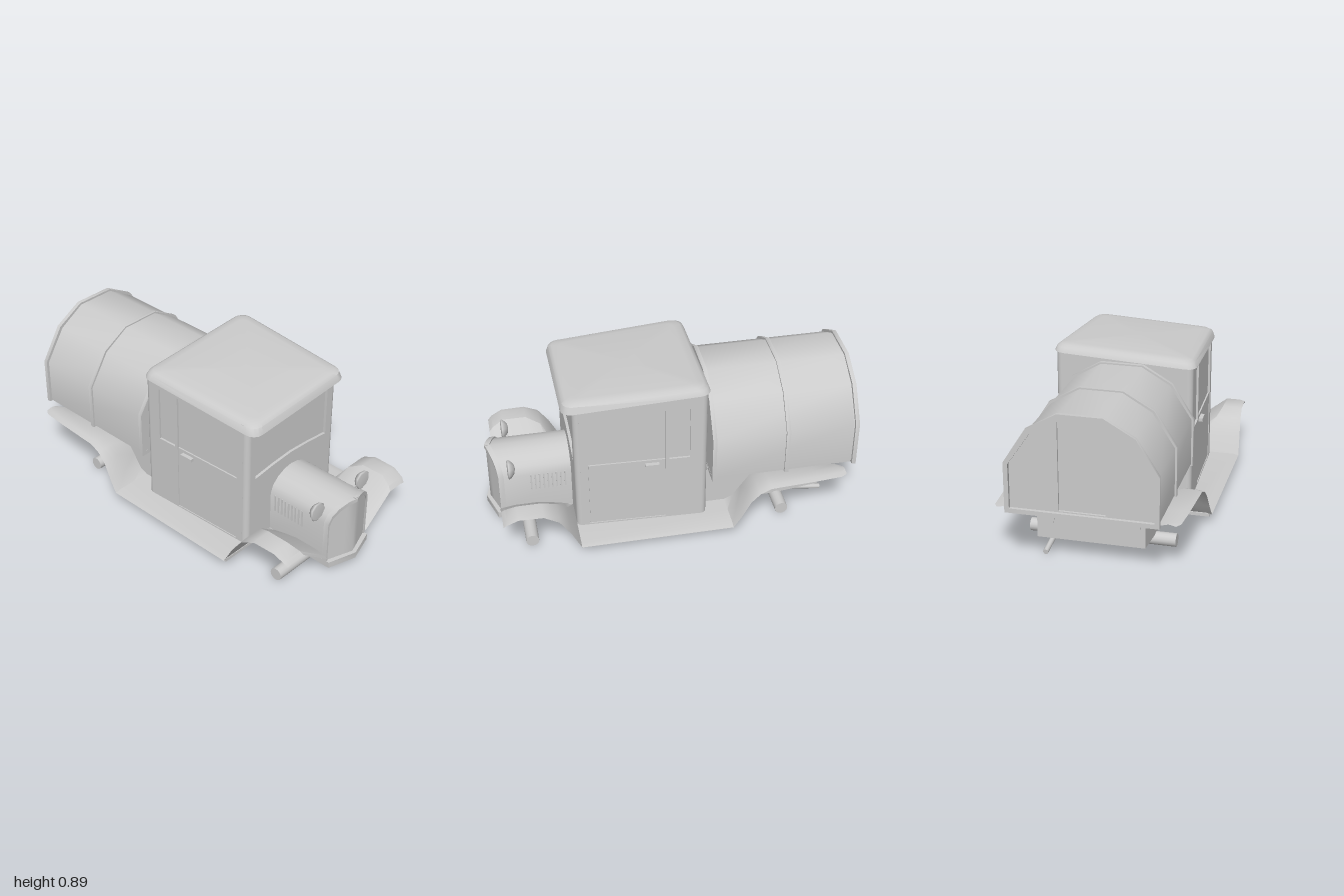
import * as THREE from 'three';
import { toCreasedNormals } from 'three/addons/utils/BufferGeometryUtils.js';

const solid = new THREE.MeshStandardMaterial({ color: 0xcccccc });
const thin = new THREE.MeshStandardMaterial({ color: 0xcccccc, side: THREE.DoubleSide });

// Surface through rows of [x, y, z] points
function sheet(rows, closed = false, crease = 0.7) {
  const n = rows[0].length, index = [];
  for (let r = 0; r < rows.length - 1; r++) {
    for (let i = 0; i < (closed ? n : n - 1); i++) {
      const j = (i + 1) % n, a = r * n + i, b = r * n + j;
      index.push(a, b, a + n, b, b + n, a + n);
    }
  }
  const geo = new THREE.BufferGeometry();
  geo.setAttribute('position', new THREE.Float32BufferAttribute(rows.flat(2), 3));
  geo.setIndex(index);
  return toCreasedNormals(geo, crease);
}

const shapeOf = (pts) => new THREE.Shape(pts.map(([x, y]) => new THREE.Vector2(x, y)));
const rect = (x0, x1, y0, y1) => [[x0, y0], [x1, y0], [x1, y1], [x0, y1]];

// Extrude an outline with holes from z0 to z1
function slab(pts, z0, z1, holes = []) {
  const shape = shapeOf(pts);
  shape.holes = holes.map(shapeOf);
  const geo = new THREE.ExtrudeGeometry(shape, { depth: z1 - z0, bevelEnabled: false });
  return toCreasedNormals(geo.translate(0, 0, z0), 0.8);
}

// Extrude a plan outline of [x, z] points from y0 to y1
const planSlab = (pts, y0, y1) => slab(pts.map(([x, z]) => [x, -z]), y0, y1).rotateX(-Math.PI / 2);
const box = (x0, x1, y0, y1, z0, z1) => slab(rect(x0, x1, y0, y1), z0, z1);

// Mirror a geometry in x and restore its winding
function mirrored(source) {
  const geo = (source.index ? source.toNonIndexed() : source.clone()).scale(-1, 1, 1);
  for (const attr of Object.values(geo.attributes)) {
    const s = attr.itemSize, a = attr.array;
    for (let t = 0; t < a.length; t += 3 * s) {
      for (let k = 0; k < s; k++) [a[t + s + k], a[t + 2 * s + k]] = [a[t + 2 * s + k], a[t + s + k]];
    }
  }
  return geo;
}

export function createModel() {
  const model = new THREE.Group();
  model.name = 'oldTruck';
  const add = (name, geo, mat = solid) => {
    const mesh = new THREE.Mesh(geo, mat);
    mesh.name = name;
    model.add(mesh);
  };
  const addPair = (name, geo, mat = solid) => {
    add(name + 'Left', geo, mat);
    add(name + 'Right', mirrored(geo), mat);
  };

  // Cab: the top edge follows the leaning roof
  const lean = (geo) => {
    const p = geo.attributes.position;
    for (let i = 0; i < p.count; i++) if (p.getY(i) > 0.8) p.setY(i, p.getY(i) + 0.055 * p.getX(i));
    return geo;
  };
  const top = 0.832, low = 0.06;
  add('cabCore', lean(planSlab([[-0.361, -0.16], [0.361, -0.16], [0.333, 0.515], [-0.333, 0.515]], low, top)));
  for (const s of [1, -1]) {
    for (const [x, z] of [[0.316, 0.5], [0.342, -0.145]]) {
      const post = new THREE.CylinderGeometry(0.03, 0.03, top - low, 20);
      add('cabCornerPost', lean(post.translate(s * x, (top + low) / 2, z)));
    }
  }
  add('cabFront', lean(slab(rect(-0.316, 0.316, low, top), 0.51, 0.53,
    [[[-0.28, 0.46], [-0.14, 0.476], [0, 0.485], [0.14, 0.476], [0.277, 0.46], [0.277, 0.775], [-0.28, 0.775]]])));
  add('cabBack', lean(box(-0.342, 0.342, low, top, -0.175, -0.155)));

  // Cab sides with door opening and rear quarter window, tapering to the front
  const toSide = (geo) => geo.rotateY(Math.PI / 2).rotateY(-0.0397).translate(0.366, 0, 0);
  const side = toSide(slab(rect(-0.5, 0.145, low, top), -0.02, 0,
    [rect(-0.46, -0.05, 0.07, 0.775), rect(-0.03, 0.08, 0.46, 0.775)]));
  add('cabSideLeft', lean(side.clone()));
  add('cabSideRight', lean(mirrored(side)));
  addPair('door', toSide(slab(rect(-0.459, -0.051, 0.071, 0.46), -0.02, -0.004)));
  addPair('doorHandle', toSide(slab(rect(-0.16, -0.085, 0.425, 0.443), -0.01, 0.018)));

  // Roof: rounded tapering plan, leaning sideways, with a drooping front visor
  const roofRing = (inset, y, scale = 1, visor = 0) => {
    const ring = [], r = 0.06 - inset * 0.3;
    const corners = [[1, 0.585, 0.357], [-1, 0.585, 0.357], [-1, -0.19, 0.387], [1, -0.19, 0.387]];
    corners.forEach(([sx, zc, w], c) => {
      const sz = zc > 0 ? 1 : -1;
      for (let k = 0; k <= 4; k++) {
        const a = (c + k / 4) * Math.PI / 2;
        const x = (sx * (w - inset - r) + r * Math.cos(a)) * scale;
        const z = (zc - sz * (inset + r) + r * Math.sin(a) - 0.2) * scale + 0.2;
        const pitch = 0.03 * Math.max(0, z + 0.1) / 0.6;
        ring.push([x, y + 0.055 * x - pitch - (z > 0.5 ? visor : 0), z]);
      }
    });
    return ring;
  };
  add('roof', sheet([roofRing(0.07, 0.88, 0), roofRing(0.07, 0.878), roofRing(0.03, 0.873),
    roofRing(0.012, 0.862), roofRing(0, 0.836, 1, 0.012), roofRing(0.02, 0.838), roofRing(0.02, 0.838, 0)], true), thin);

  // Hood with a pointed radiator
  const arch = [[0.157, 0.06], [0.157, 0.3], [0.138, 0.345], [0.1, 0.38], [0.05, 0.402], [0, 0.41]];
  const fullArch = [...arch, ...arch.slice(0, -1).reverse().map(([x, y]) => [-x, y])];
  const nose = (x) => 0.918 + 0.055 * (1 - Math.abs(x) / 0.16);
  const noseRow = (s, dz) => fullArch.map(([x, y]) => [x * s, 0.06 + (y - 0.06) * s, nose(x) + dz]);
  add('hood', sheet([fullArch.map(([x, y]) => [x, y, 0.5]), noseRow(1, -0.004),
    fullArch.map(([x]) => [x, 0.06, nose(x) - 0.004])]), thin);
  add('radiatorFrame', sheet([noseRow(1, -0.025), noseRow(1.025, -0.025), noseRow(1.025, 0.004),
    noseRow(0.96, 0.004), noseRow(0.96, -0.01)], false, 0.6), thin);
  add('radiatorCapStem', new THREE.CylinderGeometry(0.005, 0.005, 0.02, 8).translate(0, 0.412, 0.965));
  add('radiatorCap', box(-0.012, 0.012, 0.415, 0.423, 0.958, 0.972));
  for (let i = 0; i < 9; i++) {
    const z = 0.56 + i * 0.023;
    addPair('hoodLouver', box(0.15, 0.161, 0.2, 0.3, z, z + 0.008));
  }

  // Headlights
  const lamp = [[0, -0.036], [0.028, -0.03], [0.048, -0.012], [0.054, 0], [0.046, 0.005], [0, 0.005]];
  const lampGeo = new THREE.LatheGeometry(lamp.map(([x, y]) => new THREE.Vector2(x, y)), 9);
  addPair('headlight', lampGeo.rotateX(Math.PI / 2).translate(0.182, 0.375, 0.867));
  addPair('headlightBracket', box(0.12, 0.17, 0.33, 0.345, 0.835, 0.85));

  // Fenders and running board: [z, top y, outer x, crown x, inner x, inner y]
  const fender = [
    [0.93, 0.235, 0.475, 0.355, 0.16, 0.085], [0.91, 0.255, 0.485, 0.365, 0.16, 0.095],
    [0.85, 0.285, 0.492, 0.385, 0.16, 0.105], [0.72, 0.285, 0.496, 0.385, 0.16, 0.105],
    [0.64, 0.245, 0.503, 0.36, 0.16, 0.09], [0.58, 0.16, 0.51, 0.3, 0.16, 0.075],
    [0.53, 0.062, 0.515, 0.25, 0.16, 0.06], [-0.295, 0.062, 0.515, 0.37, 0.28, 0.06],
    [-0.34, 0.125, 0.51, 0.4, 0.28, 0.08], [-0.39, 0.21, 0.503, 0.4, 0.28, 0.15],
    [-0.44, 0.258, 0.5, 0.4, 0.28, 0.22], [-0.5, 0.284, 0.498, 0.4, 0.28, 0.245],
    [-0.76, 0.285, 0.485, 0.4, 0.28, 0.243], [-0.9, 0.287, 0.475, 0.402, 0.34, 0.26],
    [-0.93, 0.287, 0.455, 0.415, 0.39, 0.28],
  ];
  addPair('fender', sheet(fender.map(([z, y, outer, crown, inner, yi]) =>
    [[inner, yi, z], [crown, y, z], [outer - 0.03, y, z], [outer, y - 0.007, z]]), false, 0.6), thin);

  // Chassis
  add('floor', box(-0.5, 0.5, 0.04, 0.058, -0.295, 0.53));
  add('frontApron', planSlab([[-0.16, 0.45], [0.16, 0.45], [0.16, 0.94], [0, 0.99], [-0.16, 0.94]], 0.03, 0.065));
  const rear = [[0.16, 0.05], [0.3, 0.05], [0.6, 0.062], [0.83, 0.09], [0.83, 0.302], [0.16, 0.302]];
  add('rearChassis', slab(rear, -0.28, 0.28).rotateY(Math.PI / 2));
  for (const z of [0.78, -0.595]) {
    add('axle', new THREE.CylinderGeometry(0.035, 0.035, 0.78, 16).rotateZ(Math.PI / 2).translate(0, 0.036, z));
  }
  addPair('tailLight', new THREE.CylinderGeometry(0.037, 0.037, 0.02, 14).rotateX(Math.PI / 2).translate(0.222, 0.205, -0.832));
  add('exhaustPipe', new THREE.CylinderGeometry(0.014, 0.014, 0.22, 10)
    .rotateX(Math.PI / 2 - 0.14).translate(0.23, 0.038, -0.75));

  // Faceted cargo tank with ribs and a recessed back door
  const half = [[0.38, 0.3], [0.38, 0.553], [0.262, 0.733], [0.11, 0.823]];
  const tank = (d) => {
    const grown = half.map(([x, y], i) => [x + d * (i < 3 ? 1 : 0.4), y + (i ? d * (i === 1 ? 0.3 : 0.8) : -d)]);
    return [...grown, ...grown.slice().reverse().map(([x, y]) => [-x, y])];
  };
  add('tankBody', slab(tank(0), -0.97, -0.2));
  add('tankBackPanel', slab(tank(-0.005), -0.982, -0.965, [rect(-0.118, 0.118, 0.32, 0.785)]));
  for (const z of [-0.21, -0.61, -0.989]) {
    add('tankRib', slab(tank(0.01), z - 0.011, z + 0.011, [tank(-0.014)]));
  }
  return model;
}
